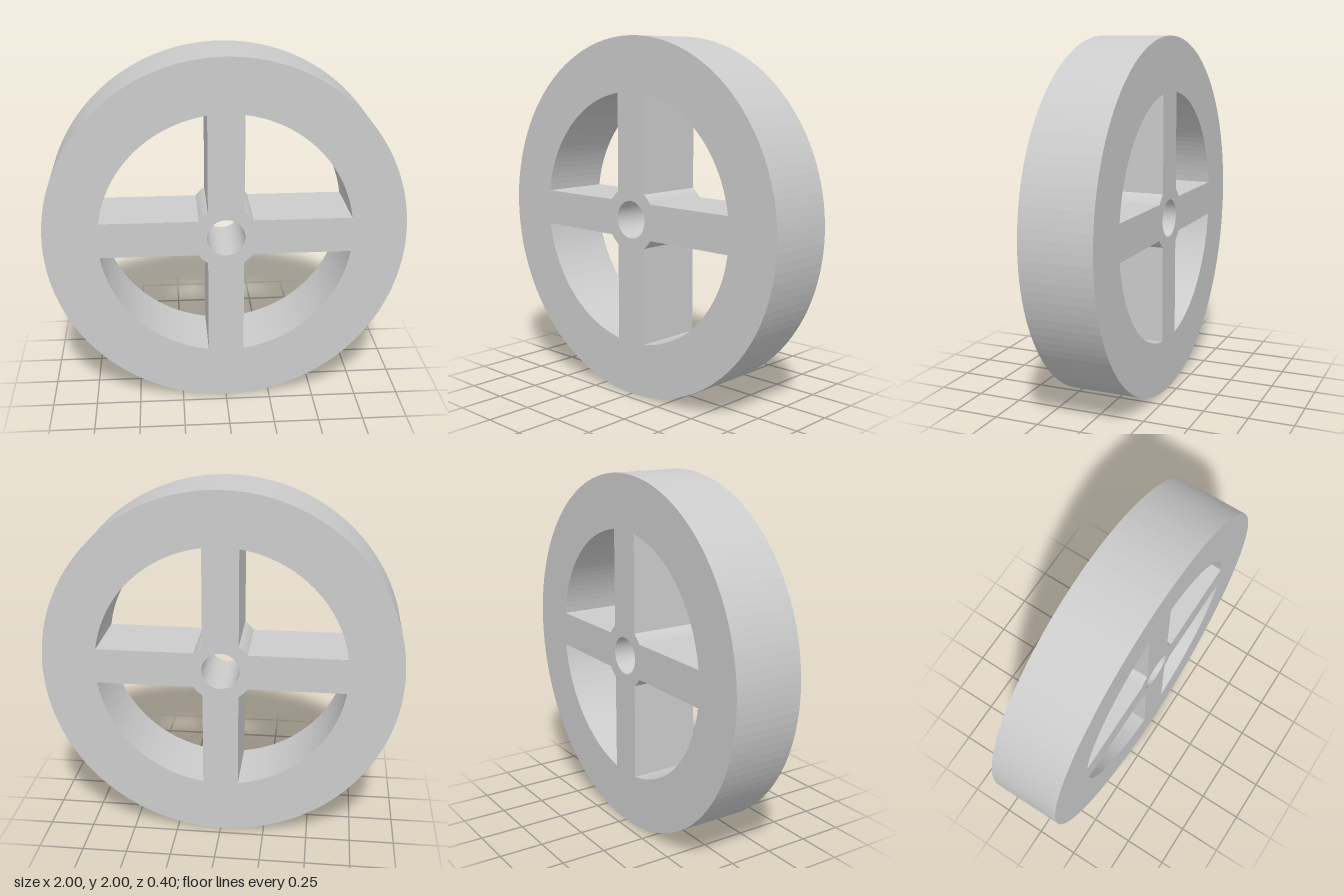
import * as THREE from 'three';

const RIM = 1, INNER = 0.7, HUB = 0.18, BORE = 0.105, HALF_SPOKE = 0.1, DEPTH = 0.4;

// points along an arc around the axle
function arc(radius, from, to, segments) {
  return Array.from({ length: segments + 1 }, (_, i) => {
    const a = from + (to - from) * i / segments;
    return new THREE.Vector2(radius * Math.cos(a), radius * Math.sin(a));
  });
}

const circle = (radius, segments) => arc(radius, 0, Math.PI * 2, segments).slice(0, -1);

export function createModel() {
  const group = new THREE.Group();
  group.name = 'spokedWheel';

  // rim outline with the axle bore cut out
  const profile = new THREE.Shape(circle(RIM, 120));
  profile.holes.push(new THREE.Path(circle(BORE, 48)));

  // four windows, leaving straight spokes and a round hub between them
  const outer = Math.asin(HALF_SPOKE / INNER);
  const inner = Math.asin(HALF_SPOKE / HUB);
  for (let i = 0; i < 4; i++) {
    const start = i * Math.PI / 2, end = start + Math.PI / 2;
    profile.holes.push(new THREE.Path([
      ...arc(INNER, start + outer, end - outer, 26),
      ...arc(HUB, end - inner, start + inner, 8),
    ]));
  }

  // rim, spokes and hub are one solid body
  const geometry = new THREE.ExtrudeGeometry(profile, { depth: DEPTH, bevelEnabled: false });
  geometry.translate(0, RIM, -DEPTH / 2);
  const wheel = new THREE.Mesh(geometry, new THREE.MeshStandardMaterial({ color: 0xcccccc, flatShading: true }));
  wheel.name = 'wheelBody';
  group.add(wheel);

  return group;
}
